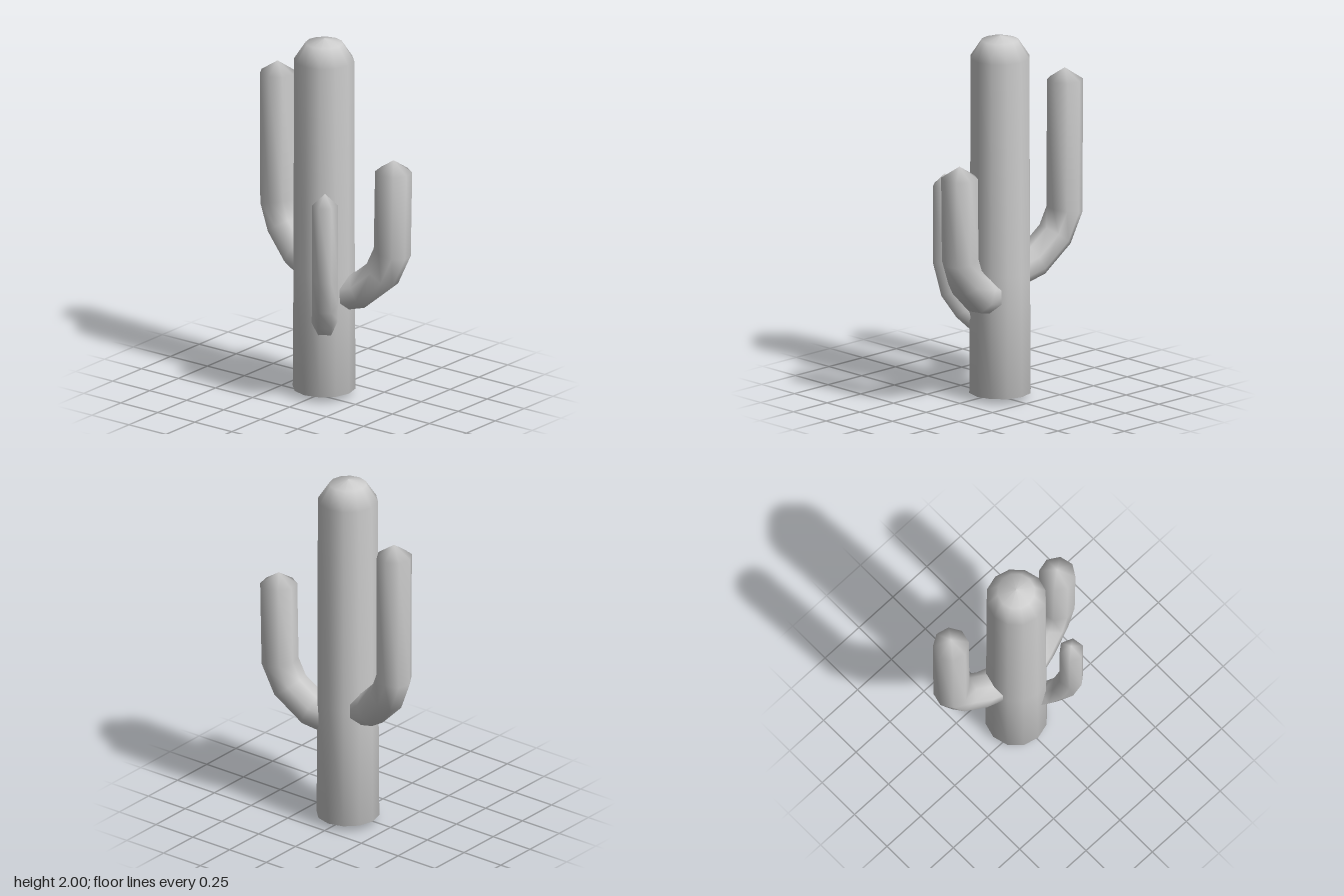
import * as THREE from 'three';

const material = new THREE.MeshStandardMaterial({ color: 0xcccccc });
const TRUNK = { x: 0.05, z: 0 };

// Upright arm swept along a path of [distance from trunk axis, height];
// the last point is the pointed tip. `end` is the arm's [x, z] once upright.
function armGeometry(path, end, radius, sides, spin) {
  const dir = new THREE.Vector3(end[0] - TRUNK.x, 0, end[1] - TRUNK.z).normalize();
  const up = new THREE.Vector3(0, 1, 0);
  const side = new THREE.Vector3().crossVectors(dir, up).normalize();
  const pts = path.map(([d, y]) =>
    new THREE.Vector3(TRUNK.x, y, TRUNK.z).addScaledVector(dir, d));
  const rings = pts.length - 1;
  const step = (i) => pts[i + 1].clone().sub(pts[i]).normalize();
  const positions = [];
  const index = [];

  for (let i = 0; i < rings; i++) {
    const after = i < rings - 1 ? step(i) : step(i - 1);
    const before = i > 0 ? step(i - 1) : after;
    const tangent = before.clone().add(after).normalize();
    const normal = new THREE.Vector3().crossVectors(tangent, side);
    const mitre = 1 / tangent.dot(after); // keeps the thickness through bends
    for (let j = 0; j < sides; j++) {
      const a = ((j + spin) / sides) * Math.PI * 2;
      const p = pts[i].clone()
        .addScaledVector(side, radius * Math.cos(a))
        .addScaledVector(normal, radius * mitre * Math.sin(a));
      positions.push(p.x, p.y, p.z);
    }
  }
  const tip = pts[rings];
  positions.push(tip.x, tip.y, tip.z);

  for (let i = 0; i < rings; i++) {
    for (let j = 0; j < sides; j++) {
      const a = i * sides + j;
      const b = i * sides + ((j + 1) % sides);
      if (i === rings - 1) index.push(a, b, rings * sides);
      else index.push(a, b, a + sides, b, b + sides, a + sides);
    }
  }
  const geometry = new THREE.BufferGeometry();
  geometry.setAttribute('position', new THREE.Float32BufferAttribute(positions, 3));
  geometry.setIndex(index);
  geometry.computeVertexNormals();
  return geometry;
}

export function createModel() {
  const group = new THREE.Group();
  group.name = 'cactus';
  const add = (name, geometry) => {
    const mesh = new THREE.Mesh(geometry, material);
    mesh.name = name;
    group.add(mesh);
    return mesh;
  };

  // Trunk: slightly tapered column with a domed top and a shallow bottom
  const profile = [[0, 0], [0.169, 0.03], [0.165, 0.7], [0.162, 1.88], [0.1, 1.975], [0, 2]]
    .map(([r, y]) => new THREE.Vector2(r, y));
  add('trunk', new THREE.LatheGeometry(profile, 12)).position.set(TRUNK.x, 0, TRUNK.z);

  // Arms: leave the trunk, bend upward and end in a point
  add('backArm', armGeometry(
    [[0.05, 0.68], [0.21, 0.73], [0.34, 0.85], [0.398, 0.98], [0.402, 1.7], [0.4, 1.765]],
    [0.145, -0.39], 0.097, 8, 0.5));
  add('frontArm', armGeometry(
    [[0.05, 0.57], [0.21, 0.61], [0.34, 0.72], [0.398, 0.85], [0.406, 1.305], [0.406, 1.37]],
    [0.145, 0.39], 0.099, 8, 0.5));
  add('sideArm', armGeometry(
    [[0.06, 0.37], [0.185, 0.48], [0.255, 0.58], [0.296, 0.745], [0.296, 1.16], [0.296, 1.225]],
    [-0.18, 0.185], 0.069, 6, 0));

  return group;
}
